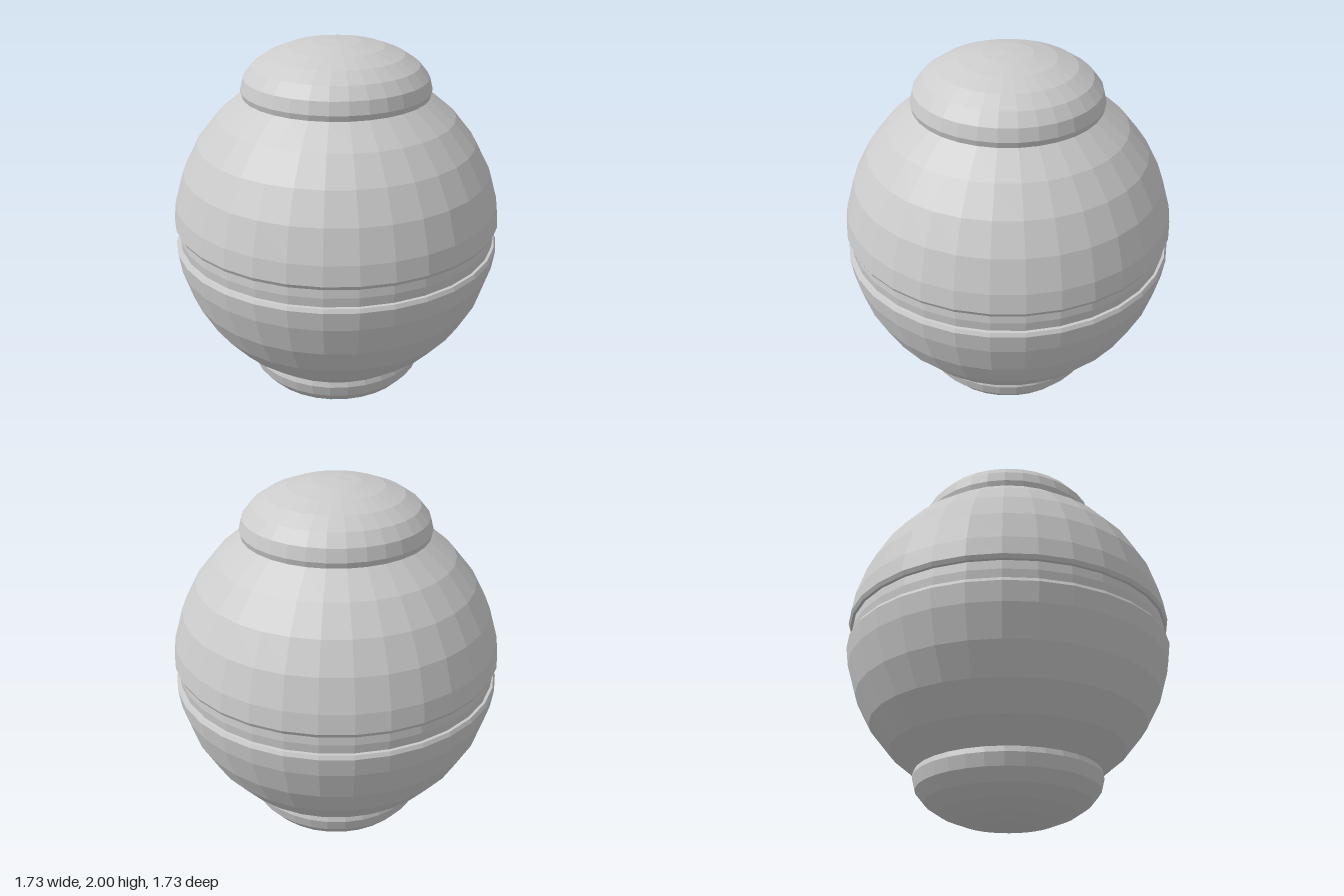
import * as THREE from 'three';

const SIDES = 32;
const R = 0.87;

export function createModel() {
  const group = new THREE.Group();
  const material = new THREE.MeshStandardMaterial({ color: 0xcccccc, flatShading: true });

  // Profiles run outward-facing from bottom to top, as [radius, height]
  const lathe = (name, profile) => {
    const points = profile.map(([r, y]) => new THREE.Vector2(Math.max(r, 0), y));
    const mesh = new THREE.Mesh(new THREE.LatheGeometry(points, SIDES), material);
    mesh.name = name;
    group.add(mesh);
  };

  // Upper half shell: bevelled rim at the groove, then sphere rings to the pole
  const shell = [[0.842, 1.048], [0.857, 1.05], [0.867, 1.07]];
  for (let i = 1; i <= 8; i++) {
    const a = (i * Math.PI) / 16;
    shell.push([R * Math.cos(a), 1 + R * Math.sin(a)]);
  }

  // Squashed dome whose lowest ring tucks into the shell
  const dome = [];
  for (let i = -1; i <= 6; i++) {
    const a = (i * Math.PI) / 12;
    dome.push([0.49 * Math.cos(a), 1.753 + 0.247 * Math.sin(a)]);
  }

  // The lower half mirrors the upper half about y = 1
  const mirror = (profile) => profile.map(([r, y]) => [r, 2 - y]).reverse();
  lathe('upperShell', shell);
  lathe('lowerShell', mirror(shell));
  lathe('topCap', dome);
  lathe('bottomCap', mirror(dome));

  // Recessed band between the two shells
  lathe('grooveBand', [[0.842, 0.94], [0.848, 1], [0.842, 1.06]]);

  return group;
}
